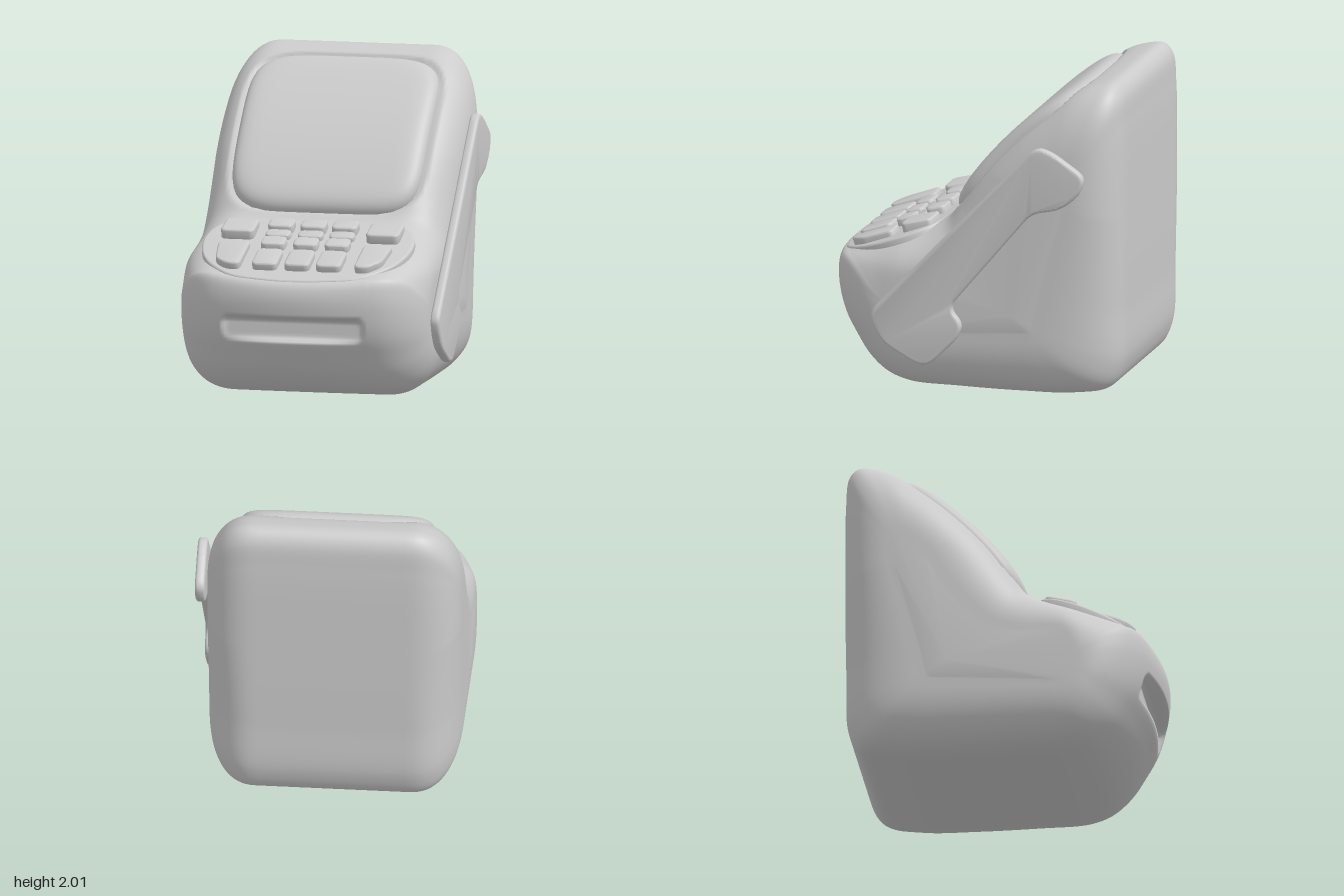
import * as THREE from 'three';
import { mergeVertices, toCreasedNormals } from 'three/addons/utils/BufferGeometryUtils.js';

const CX = -0.03; // centre line of the housing
const material = new THREE.MeshStandardMaterial({ color: 0xcccccc });
const smooth = THREE.MathUtils.smoothstep;

function named(name, geometry) {
  const mesh = new THREE.Mesh(geometry, material);
  mesh.name = name;
  return mesh;
}

// Skins rows of points (all the same length, closed loops) with smooth normals
function skin(rows) {
  const n = rows[0].length, index = [];
  for (let i = 0; i < rows.length - 1; i++) {
    for (let j = 0; j < n; j++) {
      const a = i * n + j, b = i * n + (j + 1) % n;
      index.push(a, b, a + n, b, b + n, a + n);
    }
  }
  const g = new THREE.BufferGeometry().setFromPoints(rows.flat());
  g.setIndex(index);
  const merged = mergeVertices(g, 1e-5);
  merged.computeVertexNormals();
  return merged;
}

// Polygon with rounded corners
function roundedPolygon(points, r) {
  const shape = new THREE.Shape();
  const p = points.map(([x, y]) => new THREE.Vector2(x, y));
  p.forEach((c, i) => {
    const toward = (o) => c.clone().add(o.clone().sub(c).setLength(Math.min(r, o.distanceTo(c) * 0.45)));
    const a = toward(p[(i + p.length - 1) % p.length]), b = toward(p[(i + 1) % p.length]);
    if (i) shape.lineTo(a.x, a.y); else shape.moveTo(a.x, a.y);
    shape.quadraticCurveTo(c.x, c.y, b.x, b.y);
  });
  shape.closePath();
  return shape;
}

// Slab with softened edges, from z = 0 up to the given height
function slab(shape, height, bevel) {
  const g = new THREE.ExtrudeGeometry(shape, {
    depth: height - 2 * bevel, bevelThickness: bevel, bevelSize: bevel,
    bevelOffset: -bevel, bevelSegments: 4, curveSegments: 8,
  });
  g.translate(0, 0, bevel);
  return toCreasedNormals(g, 0.6);
}

// Chord of the sloping screen face
const screenMid = { z: -0.262, y: 1.523 };
const screenTilt = -0.774;
const SCREEN_W = 0.605, SCREEN_H = 0.595;

// Side profile as [z, y], from the back foot over the top to the front
const profile = [
  [-0.3, 0], [-0.65, 0.015], [-0.87, 0.07], [-0.95, 0.22], [-0.965, 0.6], [-0.97, 1.2], [-0.965, 1.75],
  [-0.945, 1.94], [-0.89, 2.0], [-0.78, 1.99], [-0.67, 1.95], [-0.55, 1.87], [-0.29, 1.655], [-0.03, 1.375],
  [0.1, 1.18], [0.17, 1.08], [0.26, 1.025], [0.5, 0.93], [0.88, 0.785], [0.945, 0.755], [0.97, 0.68],
  [0.955, 0.54], [0.91, 0.41], [0.84, 0.3], [0.74, 0.17], [0.6, 0.065], [0.42, 0.01], [0.1, 0],
];

// Point on segment ab nearest to p
function nearest(p, a, b) {
  return new THREE.Line3(a, b).closestPointToPoint(p, true, new THREE.Vector3());
}

function bodyGeometry() {
  const curve = new THREE.CatmullRomCurve3(profile.map(([z, y]) => new THREE.Vector3(0, y, z)), true);
  const loop = curve.getSpacedPoints(340).slice(0, -1);
  const A = new THREE.Vector3(0, 1.3, -0.56), B = new THREE.Vector3(0, 0.55, -0.3), C = new THREE.Vector3(0, 0.47, 0.45);
  // Point inside the body that each profile point shrinks towards
  const core = loop.map((p) => {
    const qa = nearest(p, A, B), qb = nearest(p, B, C);
    const wa = p.distanceTo(qa) ** -4, wb = p.distanceTo(qb) ** -4;
    return qa.multiplyScalar(wa).addScaledVector(qb, wb).divideScalar(wa + wb);
  });

  // Slices: [x, shrink towards the core, closing towards the middle of the side]
  const R = 0.33, W = 0.8, DOME = 0.012, half = [];
  for (let i = 1; i <= 20; i++) {
    const a = (i / 20) * Math.PI / 2;
    half.push([W - R + (R - DOME) * Math.sin(a) ** 0.85, 0.78 * (1 - Math.max(0, Math.cos(a)) ** 0.85), 0]);
  }
  for (const k of [0.1, 0.3, 0.6, 1]) half.push([W - DOME * (1 - k) ** 2, 0.78, k]);
  const slices = half.map(([x, d, k]) => [-x, d, k]).reverse();
  for (let i = 0; i <= 60; i++) slices.push([(W - R) * (i / 30 - 1), 0, 0]);
  slices.push(...half);

  const c = Math.cos(screenTilt), s = Math.sin(screenTilt);
  return skin(slices.map(([x, d, k]) => loop.map((p, j) => {
    // The shoulders beside the keypad stay fuller
    const full = p.y > 0.7 ? 1 - 0.35 * Math.exp(-(((p.z - 0.5) / 0.3) ** 2)) * smooth(p.y, 0.7, 0.8) : 1;
    const v = p.clone().lerp(core[j], d * full).lerp(B, k);
    v.x = x;
    // Bowed front, sliding back along the keypad slope at the top
    const bow = 0.2 * (x / W) ** 2 * Math.max(0, (v.z - 0.2) / 0.77) ** 1.4;
    v.z -= bow;
    v.y += 0.36 * bow * smooth(v.y, 0.62, 0.78);
    // Shallow seat around the screen
    const dy = v.y - screenMid.y, dz = v.z - screenMid.z;
    const up = dy * c + dz * s, out = dz * c - dy * s;
    if (out > -0.08 && k === 0) {
      const e = ((Math.abs(x) / (SCREEN_W + 0.03)) ** 5 + (Math.abs(up) / (SCREEN_H + 0.02)) ** 5) ** 0.2;
      const sink = 0.03 * (1 - smooth(e, 0.95, 1.0));
      v.y += sink * s;
      v.z -= sink * c;
    }
    // Slot in the front
    if (v.z > 0.6) {
      const ex = Math.max(0, Math.abs(x + 0.005) - 0.4), ey = Math.max(0, Math.abs(v.y - 0.468) - 0.03);
      const f = 1 - smooth(Math.hypot(ex, ey), 0.025, 0.055);
      v.z += f * Math.min(0, 0.845 - v.z);
    }
    return v;
  })));
}

// Bulging screen, built from concentric rings
function screenGeometry() {
  const rings = [], N = 96, M = 28;
  for (let i = M; i >= 0; i--) {
    const rho = Math.sin((i / M) * Math.PI / 2), ring = [];
    for (let j = 0; j < N; j++) {
      const a = (j / N) * 2 * Math.PI, ca = Math.cos(a), sa = Math.sin(a);
      const e = rho / (Math.abs(ca) ** 5 + Math.abs(sa) ** 5) ** 0.2;
      const h = 0.07 * (1 - (e * sa) ** 2) - 0.04 + 0.085 * Math.sqrt(Math.max(0, 1 - rho ** 14));
      ring.push(new THREE.Vector3(SCREEN_W * e * ca, SCREEN_H * e * sa, h));
    }
    rings.push(ring);
  }
  return skin(rings);
}

function createKeypad() {
  const pad = new THREE.Group();
  pad.name = 'keypad';
  pad.position.set(0, 0.902, 0.558);
  pad.rotation.x = -1.206;
  const toLocal = (z) => (0.56 - z) / 0.934;

  // Plate outline, mirrored about the centre line
  const side = [[0.45, 0.21], [0.6, 0.28], [0.665, 0.44], [0.61, 0.68], [0.42, 0.86], [0.2, 0.91]];
  const outline = [[0, 0.2], ...side, [0, 0.925], ...side.map(([x, z]) => [-x, z]).reverse()];
  const spline = new THREE.CatmullRomCurve3(outline.map(([x, z]) => new THREE.Vector3(x, toLocal(z), 0)), true);
  const plate = named('keypadPlate', slab(new THREE.Shape(spline.getPoints(80).slice(0, -1)
    .map((p) => new THREE.Vector2(p.x, p.y))), 0.09, 0.015));
  plate.position.z = -0.075;
  pad.add(plate);

  // Keys: outline corners as [x, z], height above the plate and tilt of the face
  const key = (corners, height, tilt) => {
    const points = corners.map(([x, z]) => [x - CX, toLocal(z)]);
    const middle = points.reduce((sum, p) => sum + p[1], 0) / points.length;
    const mesh = named('key', slab(roundedPolygon(points, 0.04), height + 0.02, 0.014));
    mesh.rotation.x = -tilt;
    mesh.position.z = tilt * middle - 0.005;
    pad.add(mesh);
  };
  const box = (x0, x1, z0, z1) => [[x0, z1], [x1, z1], [x1, z0], [x0, z0]];
  for (const x of [-0.31, -0.105, 0.095]) {
    key(box(x, x + 0.16, 0.265, 0.385), 0.052, 0.1);
    key(box(x, x + 0.16, 0.375, 0.455), 0.035, 0);
    key(box(x, x + 0.155, 0.47, 0.58), 0.045, 0.06);
    key(box(x, x + 0.16, 0.61, 0.81), 0.043, 0.04);
  }
  key(box(-0.59, -0.38, 0.27, 0.46), 0.05, 0.12);
  key(box(0.33, 0.54, 0.27, 0.46), 0.05, 0.12);
  key([[-0.47, 0.81], [-0.385, 0.81], [-0.38, 0.52], [-0.58, 0.54], [-0.55, 0.75]], 0.043, 0.04);
  key([[0.34, 0.81], [0.42, 0.81], [0.5, 0.73], [0.525, 0.52], [0.34, 0.53]], 0.043, 0.04);
  return pad;
}

// Flat lever on the model's left side, outline as [z, y]
function createLever() {
  const outline = [
    [0.59, 0.52], [-0.48, 1.65], [-0.58, 1.625], [-0.8, 1.48], [-0.76, 1.36], [-0.64, 1.26],
    [-0.45, 1.22], [0.08, 0.58], [-0.01, 0.48], [0.03, 0.38], [0.2, 0.21], [0.28, 0.2], [0.5, 0.32], [0.57, 0.43],
  ];
  const lever = named('lever', slab(roundedPolygon(outline.map(([z, y]) => [-z, y]), 0.07), 0.06, 0.02));
  lever.rotation.y = Math.PI / 2;
  lever.position.x = 0.768;
  return lever;
}

export function createModel() {
  const model = new THREE.Group();
  model.name = 'cardTerminal';

  const housing = new THREE.Group();
  housing.name = 'housing';
  housing.position.x = CX;
  const screen = named('screen', screenGeometry());
  screen.position.set(0, screenMid.y, screenMid.z);
  screen.rotation.x = screenTilt;
  housing.add(named('body', bodyGeometry()), screen, createKeypad());

  model.add(housing, createLever());
  return model;
}
